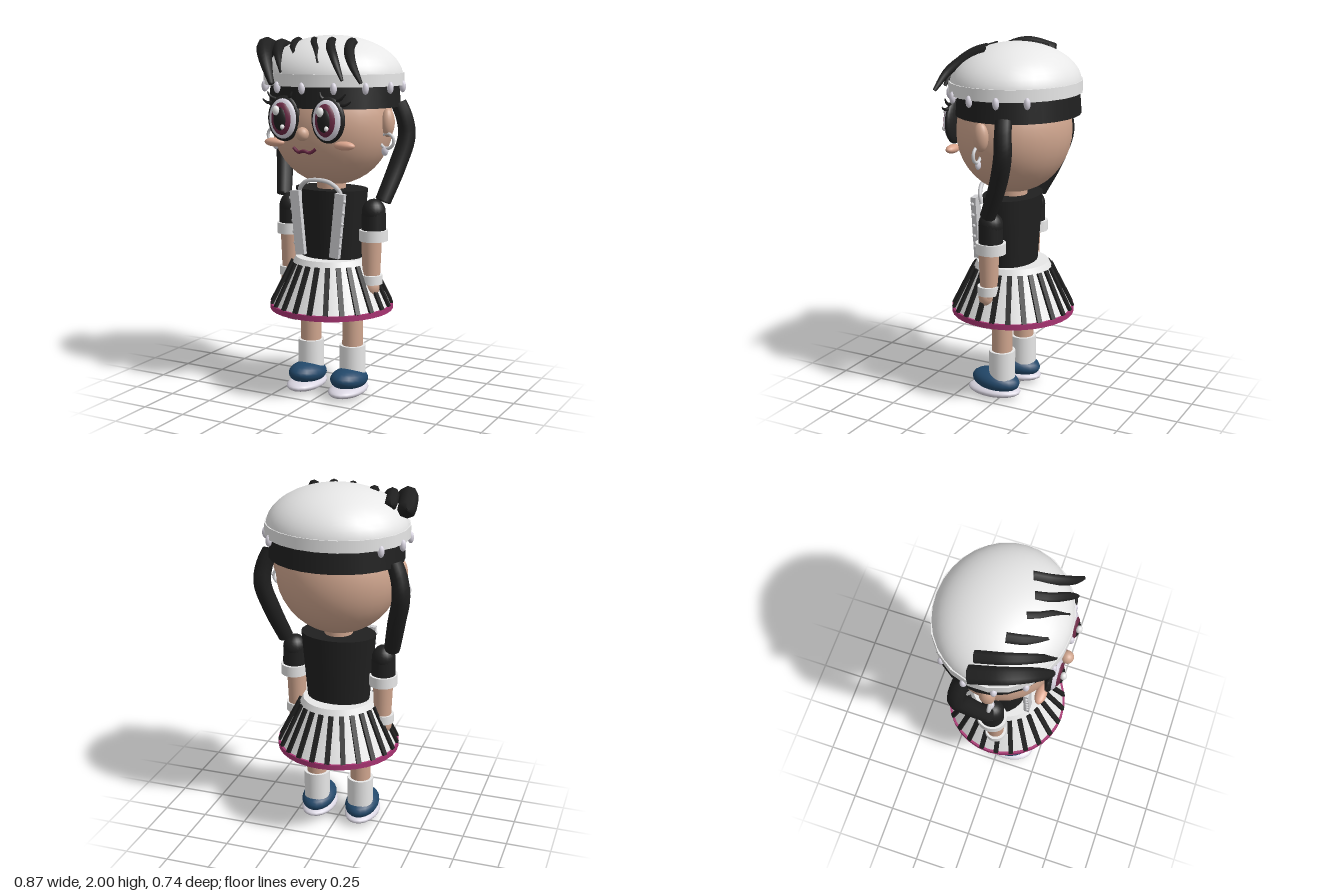
import * as THREE from 'three';

const mat = (name, color) => {
  const m = new THREE.MeshStandardMaterial({ color });
  m.name = name;
  return m;
};

export function createModel() {
  const root = new THREE.Group();
  root.name = 'doll';
  const skin = mat('skin', 0xcfa58e), white = mat('white', 0xeeeeee), black = mat('black', 0x202020),
    navy = mat('navy', 0x22486a), magenta = mat('magenta', 0xa83472), maroon = mat('maroon', 0x6a2844),
    pearl = mat('pearl', 0xdad6e2), blush = mat('blush', 0xdca68e), silver = mat('silver', 0xcfcfd2);

  const add = (name, geo, material, x = 0, y = 0, z = 0, parent = root) => {
    const m = new THREE.Mesh(geo, material);
    m.name = name;
    m.position.set(x, y, z);
    parent.add(m);
    return m;
  };
  const ball = (name, material, x, y, z, rx, ry, rz, seg = 20) => {
    const m = add(name, new THREE.SphereGeometry(1, seg, Math.ceil(seg * 0.7)), material, x, y, z);
    m.scale.set(rx, ry, rz);
    return m;
  };
  const drum = (name, material, x, y0, y1, z, rBottom, rTop, squash = 1, seg = 24) => {
    const m = add(name, new THREE.CylinderGeometry(rTop, rBottom, y1 - y0, seg), material, x, (y0 + y1) / 2, z);
    m.scale.z = squash;
    return m;
  };
  // tube whose radius follows a rule along its length, closed at both ends
  const lock = (name, material, pts, radius, sides = 10) => {
    const n = 24;
    const curve = new THREE.CatmullRomCurve3(pts.map(p => new THREE.Vector3(...p)));
    const geo = new THREE.TubeGeometry(curve, n, 1, sides);
    const pos = geo.attributes.position, v = new THREE.Vector3();
    for (let i = 0; i <= n; i++) {
      // end rings sit almost on their neighbours, so the ends are blunt
      const t = i === 0 ? 0.96 / n : i === n ? 1 - 0.96 / n : i / n;
      const c = curve.getPointAt(t), old = curve.getPointAt(i / n);
      const r = i === 0 || i === n ? 0.0005 : radius(t);
      for (let j = 0; j <= sides; j++) {
        const k = i * (sides + 1) + j;
        v.fromBufferAttribute(pos, k).sub(old).multiplyScalar(r).add(c);
        pos.setXYZ(k, v.x, v.y, v.z);
      }
    }
    return add(name, geo, material);
  };

  // head and hat
  ball('head', skin, 0, 1.525, -0.01, 0.34, 0.34, 0.31, 28);
  drum('neck', skin, 0, 1.12, 1.24, 0, 0.08, 0.08);
  drum('hairBand', black, 0, 1.62, 1.74, -0.035, 0.37, 0.36, 0.9, 28);
  drum('hatRim', white, 0, 1.735, 1.80, -0.02, 0.393, 0.393, 0.9, 22);
  const dome = add('hatDome', new THREE.SphereGeometry(1, 32, 14, 0, Math.PI * 2, 0, Math.PI / 2), white, 0, 1.77, -0.02);
  dome.scale.set(0.388, 0.23, 0.35);
  for (let i = -5; i <= 5; i++) {
    const a = i * Math.PI / 7;
    ball('hatBead', pearl, 0.39 * Math.sin(a), 1.728, -0.02 + 0.35 * Math.cos(a), 0.018, 0.032, 0.018, 10);
  }

  // fringe locks swept over the hat: back, middle, front, thickness
  [
    [[-0.39, 1.90, -0.08], [-0.355, 1.94, 0.10], [-0.29, 1.89, 0.22], [-0.19, 1.73, 0.31], 0.05],
    [[-0.305, 1.925, -0.08], [-0.27, 1.945, 0.09], [-0.21, 1.90, 0.21], [-0.13, 1.79, 0.305], 0.034],
    [[-0.18, 1.965, 0.04], [-0.155, 1.945, 0.13], [-0.11, 1.91, 0.21], [-0.05, 1.86, 0.285], 0.028],
    [[-0.05, 1.975, 0.10], [-0.02, 1.955, 0.16], [0.025, 1.925, 0.22], [0.08, 1.85, 0.30], 0.021],
    [[0.06, 1.97, 0.10], [0.09, 1.945, 0.18], [0.15, 1.885, 0.255], [0.225, 1.76, 0.30], 0.027],
    [[0.16, 1.965, 0.06], [0.19, 1.93, 0.16], [0.25, 1.86, 0.25], [0.335, 1.75, 0.30], 0.03],
  ].forEach(([a, b, c, d, r]) =>
    lock('fringeLock', black, [a, b, c, d], t => r * (1 - 0.75 * Math.pow(t, 2.5)), 8));

  // face
  ball('nose', skin, 0, 1.49, 0.325, 0.035, 0.037, 0.035);
  const smile = new THREE.CatmullRomCurve3([[-0.068, 1.413, 0.30], [-0.035, 1.392, 0.305], [0, 1.4, 0.31],
    [0.035, 1.392, 0.305], [0.068, 1.413, 0.30]].map(p => new THREE.Vector3(...p)));
  add('mouth', new THREE.TubeGeometry(smile, 20, 0.009, 8), maroon);

  for (const s of [-1, 1]) {
    // eye built from stacked flat ovals
    const ex = s * 0.132, ey = 1.565;
    [['eyeOutline', black, 0.1, 0.122, 0.285, 0.03], ['eyeWhite', pearl, 0.083, 0.107, 0.3, 0.03],
      ['iris', maroon, 0.062, 0.088, 0.312, 0.03], ['pupil', black, 0.045, 0.07, 0.319, 0.03]]
      .forEach(([name, m, rx, ry, z, rz]) => ball(name, m, ex, ey, z, rx, ry, rz));
    ball('eyeGlint', white, ex - 0.016, ey + 0.045, 0.345, 0.02, 0.026, 0.018, 12);
    ball('eyeGlint', white, ex + 0.02, ey - 0.04, 0.342, 0.011, 0.014, 0.014, 10);
    for (const [dx, dy, ox, oy] of [[0.075, 0.08, 0.135, 0.1], [0.05, 0.1, 0.105, 0.14], [-0.03, 0.11, -0.05, 0.145]])
      lock('eyelash', black, [[ex + s * dx, ey + dy, 0.285], [ex + s * (dx + ox) / 2, ey + (dy + oy) / 2 - 0.008, 0.29],
        [ex + s * ox, ey + oy, 0.285]], t => 0.011 * (1 - 0.7 * t), 6);
    ball('cheek', blush, s * 0.212, 1.432, 0.255, 0.06, 0.024, 0.03);

    // ear and earring
    ball('ear', skin, s * 0.345, 1.54, 0.01, 0.036, 0.077, 0.043);
    add('earringHoop', new THREE.TorusGeometry(0.04, 0.009, 8, 20), silver, s * 0.35, 1.445, 0.03);
    ball('earringDrop', pearl, s * 0.338, 1.39, 0.03, 0.02, 0.026, 0.014, 12);

    // pigtail
    lock('pigtail', black, [[s * 0.335, 1.66, -0.12], [s * 0.375, 1.56, -0.135], [s * 0.388, 1.46, -0.14],
      [s * 0.355, 1.3, -0.095], [s * 0.305, 1.09, 0]], t => 0.043 + 0.006 * Math.sin(t * Math.PI), 10);

    // arm
    drum('sleeve', black, s * 0.26, 0.92, 1.06, 0, 0.068, 0.065);
    ball('shoulder', black, s * 0.26, 1.05, 0, 0.065, 0.072, 0.068);
    drum('sleeveCuff', white, s * 0.26, 0.893, 0.953, 0, 0.078, 0.078, 1.08);
    drum('forearm', skin, s * 0.255, 0.64, 0.91, 0.015, 0.046, 0.057);
    drum('wristBand', white, s * 0.258, 0.655, 0.705, 0.018, 0.06, 0.06);
    ball('hand', skin, s * 0.262, 0.638, 0.025, 0.044, 0.056, 0.046);

    // strap with studs
    const strap = add('strap', new THREE.BoxGeometry(0.055, 0.355, 0.03), silver, s * 0.122, 0.985, 0.16);
    strap.rotation.z = -s * 0.1;
    for (let i = 0; i < 5; i++)
      ball('stud', silver, s * (0.165 - i * 0.007), 1.12 - i * 0.062, 0.165, 0.011, 0.011, 0.011, 8);

    // leg and shoe
    drum('leg', skin, s * 0.133, 0.26, 0.52, 0, 0.058, 0.058);
    drum('sock', white, s * 0.133, 0.11, 0.287, 0, 0.074, 0.074);
    const shoe = ball('shoe', navy, s * 0.133, 0.1, 0.04, 0.096, 0.062, 0.143);
    shoe.rotation.x = -0.1;
    ball('shoeSole', pearl, s * 0.133, 0.042, 0.05, 0.098, 0.037, 0.16);
  }

  // bodice and neck loop
  drum('bodice', black, 0, 0.78, 1.168, 0, 0.178, 0.212, 0.72);
  const loop = new THREE.CatmullRomCurve3([[-0.13, 1.12, 0.125], [-0.122, 1.17, 0.14], [-0.075, 1.215, 0.155],
    [0, 1.228, 0.16], [0.075, 1.215, 0.155], [0.122, 1.17, 0.14], [0.13, 1.12, 0.125]].map(p => new THREE.Vector3(...p)));
  add('neckLoop', new THREE.TubeGeometry(loop, 28, 0.012, 8), silver);

  // striped skirt
  drum('skirt', white, 0, 0.515, 0.785, 0, 0.335, 0.2, 1, 32);
  drum('skirtHem', magenta, 0, 0.49, 0.52, 0, 0.345, 0.345, 1, 32);
  const tilt = Math.atan2(0.135, 0.27);
  for (let i = 0; i < 24; i++) {
    const pleat = new THREE.Group();
    pleat.name = 'skirtStripe';
    pleat.rotation.y = (i + 0.5) * Math.PI / 12;
    root.add(pleat);
    add('stripe', new THREE.BoxGeometry(0.027, 0.265, 0.022), black, 0, 0.636, 0.277, pleat).rotation.x = -tilt;
  }
  // hanging ribbon end
  add('ribbonEnd', new THREE.BoxGeometry(0.06, 0.13, 0.025), white, -0.21, 0.47, 0.065).rotation.z = -0.08;

  return root;
}
